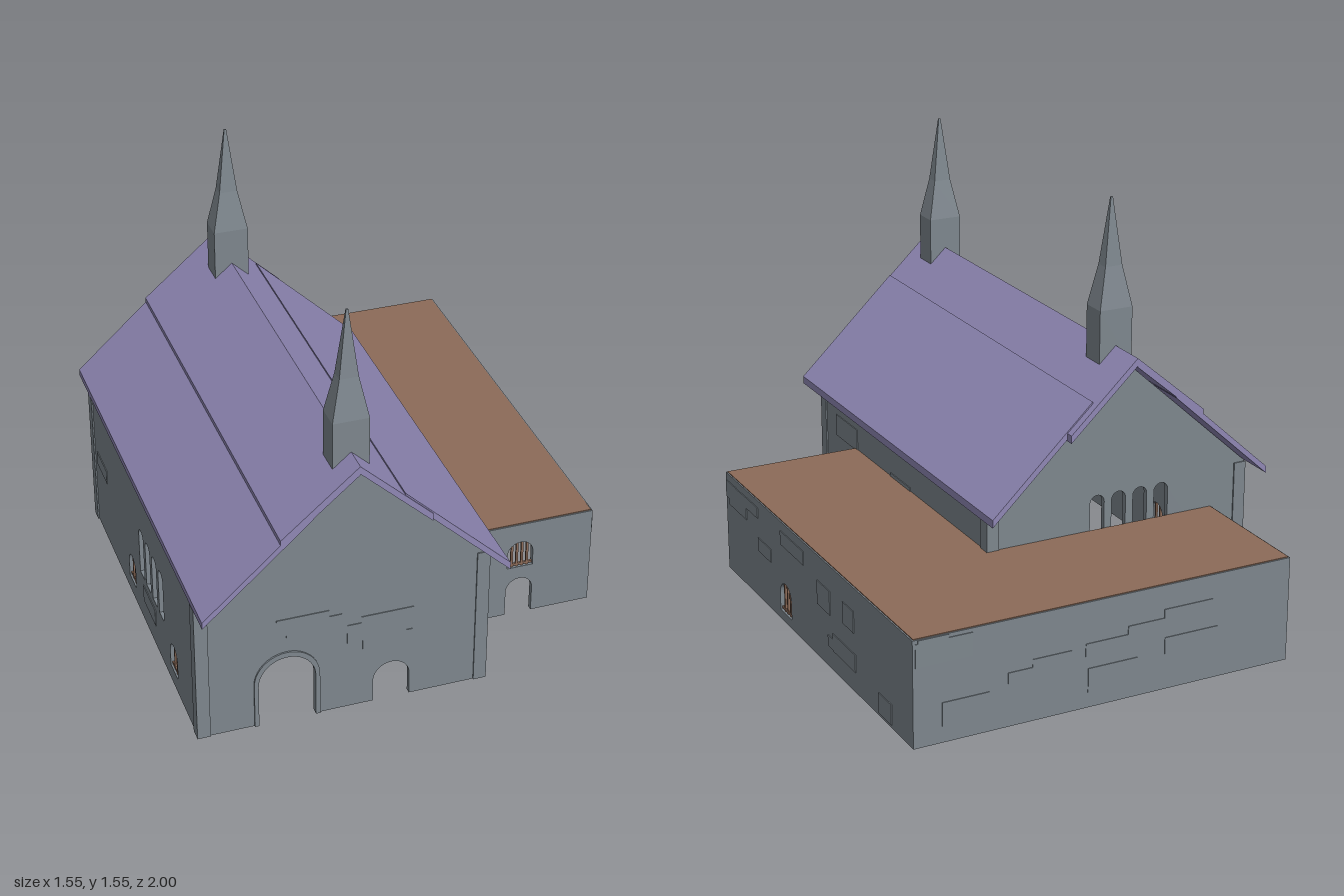
import * as THREE from 'three';

const mat = (name, color) => {
  const m = new THREE.MeshStandardMaterial({ color });
  m.name = name;
  return m;
};

export function createModel() {
  const stone = mat('grey stone', 0x7d868d);
  const wood = mat('brown wood', 0x8c6b58);
  const slate = mat('purple slate', 0x8f87b4);
  const model = new THREE.Group();
  const T = 0.02; // wall thickness

  const add = (parent, name, geo, material, x = 0, y = 0, z = 0) => {
    const m = new THREE.Mesh(geo, material);
    m.name = name;
    m.position.set(x, y, z);
    parent.add(m);
    return m;
  };
  const box = (parent, name, material, w, h, d, x, y, z) =>
    add(parent, name, new THREE.BoxGeometry(w, h, d), material, x, y, z);
  const extrude = (shape, depth) =>
    new THREE.ExtrudeGeometry(shape, { depth, bevelEnabled: false, curveSegments: 10 });

  let seed = 7;
  const rand = () => (seed = (seed * 16807) % 2147483647) / 2147483647;

  // Wall with arched doorways [centre, halfWidth, height] and
  // arched windows [centre, halfWidth, bottom, top, barCount].
  // side: front, back, left or right; at: position of the outer face.
  function wall(name, side, at, s0, s1, height, { doors = [], windows = [], peak = null, stones = 8 } = {}) {
    const g = new THREE.Group();
    g.name = name;
    const turned = side === 'left' || side === 'right';
    const outward = side === 'front' || side === 'right';
    const offset = outward ? at - T : at;
    if (turned) {
      g.rotation.y = Math.PI / 2;
      g.position.x = offset;
    } else g.position.z = offset;

    const s = new THREE.Shape();
    s.moveTo(s0, 0);
    for (const [c, w, h] of doors) {
      s.lineTo(c - w, 0);
      s.lineTo(c - w, h - w);
      s.absarc(c, h - w, w, Math.PI, 0, true);
      s.lineTo(c + w, 0);
    }
    s.lineTo(s1, 0);
    s.lineTo(s1, height);
    if (peak) s.lineTo(...peak);
    s.lineTo(s0, height);
    s.closePath();
    for (const [c, w, b, t, bars = 0] of windows) {
      const p = new THREE.Path();
      p.moveTo(c - w, b);
      p.lineTo(c + w, b);
      p.lineTo(c + w, t - w);
      p.absarc(c, t - w, w, 0, Math.PI, false);
      p.closePath();
      s.holes.push(p);
      for (let i = 1; i <= bars; i++) {
        const u = -w + (2 * w * i) / (bars + 1);
        const top = t - w + Math.sqrt(w * w - u * u);
        box(g, 'windowBar', wood, 0.008, top - b, 0.008, c + u, (top + b) / 2, T / 2);
      }
      if (bars) box(g, 'windowSill', wood, 2 * w, 0.008, 0.008, c, b + 0.008, T / 2);
    }
    add(g, name + 'Masonry', extrude(s, T), stone);

    // Slightly raised blocks, kept clear of the openings
    const gaps = [...doors.map(([c, w, h]) => [c, w, 0, h]), ...windows];
    for (let i = 0; i < stones; i++) {
      const w = 0.08 + 0.14 * rand(), h = 0.04 + 0.05 * rand();
      const x = s0 + w / 2 + (s1 - s0 - w) * rand(), y = h / 2 + (height - h) * rand();
      const clash = gaps.some(([c, gw, b, t]) =>
        Math.abs(x - c) < gw + w / 2 + 0.01 && y + h / 2 > b - 0.01 && y - h / 2 < t + 0.01);
      if (!clash) box(g, 'stoneBlock', stone, w, h, 0.004, x, y, outward ? T + 0.001 : -0.001);
    }
    model.add(g);
    return g;
  }

  // Church hall: gabled ends and long walls
  const peak = [-0.245, 1.01];
  const front = wall('frontWall', 'front', 0.89, -0.77, 0.25, 0.535,
    { doors: [[-0.46, 0.1, 0.265], [-0.09, 0.065, 0.15]], peak });
  const row = [-0.455, -0.37, -0.285, -0.2];
  wall('backWall', 'back', -0.5, -0.77, 0.25, 0.535, {
    doors: [[-0.29, 0.05, 0.15]], peak, stones: 0,
    windows: [-0.43, -0.345, -0.26, -0.175].map((c) => [c, 0.028, 0.33, 0.51]),
  });
  wall('leftWall', 'left', -0.77, -0.89, 0.5, 0.54, {
    windows: [[-0.6, 0.045, 0.06, 0.17, 2], ...row.map((c) => [c + 0.13 - 0.13, 0.029, 0.19, 0.38]),
      [-0.05, 0.045, 0.06, 0.17, 2]],
  });
  wall('rightWall', 'right', 0.25, -0.89, 0.5, 0.545, {
    doors: [[0.02, 0.04, 0.14]], windows: [[-0.12, 0.04, 0.05, 0.145, 3]], stones: 6,
  });

  // Moulding round the main doorway
  const arch = new THREE.Shape();
  arch.moveTo(-0.575, 0);
  arch.lineTo(-0.575, 0.17);
  arch.absarc(-0.46, 0.17, 0.115, Math.PI, 0, true);
  arch.lineTo(-0.345, 0);
  arch.lineTo(-0.36, 0);
  arch.lineTo(-0.36, 0.165);
  arch.absarc(-0.46, 0.165, 0.1, 0, Math.PI, false);
  arch.lineTo(-0.56, 0);
  add(front, 'doorMoulding', extrude(arch, 0.006), stone, 0, 0, T);

  // Corner strips of the hall
  for (const x of [-0.752, 0.232])
    for (const z of [0.872, -0.482])
      box(model, 'cornerStrip', stone, 0.046, 0.53, 0.046, x, 0.265, z);

  // Low wing wrapping the right and back
  wall('wingFrontWall', 'front', 0.59, 0.25, 0.77, 0.38,
    { doors: [[0.5, 0.05, 0.15]], windows: [[0.5, 0.048, 0.2, 0.305, 4]], stones: 4 });
  wall('wingRightWall', 'right', 0.77, -0.59, 1, 0.38,
    { windows: [[-0.04, 0.05, 0.035, 0.15, 3]], stones: 10 });
  wall('wingBackWall', 'back', -1, -0.64, 0.77, 0.38, { stones: 10 });
  wall('wingLeftWall', 'left', -0.64, 0.5, 1, 0.38, { stones: 3 });

  // L-shaped flat roof (shape y becomes -z)
  const flat = new THREE.Shape([[0.25, -0.585], [0.765, -0.585], [0.765, 0.995], [-0.635, 0.995],
    [-0.635, 0.5], [0.25, 0.5]].map(([x, y]) => new THREE.Vector2(x, y)));
  const flatRoof = add(model, 'wingRoof', extrude(flat, 0.015), wood, 0, 0.368, 0);
  flatRoof.rotation.x = -Math.PI / 2;

  // Wing ceiling rails and cross pieces
  for (const x of [0.262, 0.32]) box(model, 'ceilingRail', wood, 0.012, 0.012, 0.98, x, 0.355, 0.05);
  for (let i = 0; i < 12; i++)
    box(model, 'ceilingRung', wood, 0.06, 0.01, 0.012, 0.29, 0.355, -0.42 + i * 0.085);

  // Hall ceiling and its four columns
  box(model, 'hallCeiling', wood, 0.98, 0.012, 1.35, -0.26, 0.546, 0.195);
  for (const x of [-0.69, 0.085])
    for (const z of [0.67, -0.28]) {
      add(model, 'column', new THREE.CylinderGeometry(0.034, 0.034, 0.54, 16), wood, x, 0.27, z);
      add(model, 'columnBase', new THREE.CylinderGeometry(0.042, 0.042, 0.03, 16), wood, x, 0.015, z);
    }

  // Pitched roof: sloping slabs with a vertical thickness
  const slab = (name, x0, y0, x1, y1, t, zBack, zFront) => {
    const s = new THREE.Shape([[x0, y0 - t], [x1, y1 - t], [x1, y1], [x0, y0]]
      .map(([x, y]) => new THREE.Vector2(x, y)));
    add(model, name, extrude(s, zFront - zBack), slate, 0, 0, zBack);
  };
  slab('leftLowerRoof', -0.775, 0.557, -0.4, 0.898, 0.025, -0.635, 1);
  slab('leftUpperRoof', -0.51, 0.815, -0.245, 1.04, 0.032, -0.635, 1);
  slab('rightUpperRoof', -0.245, 1.04, 0.005, 0.806, 0.028, -0.635, 1);
  slab('rightLowerRoof', -0.09, 0.902, 0.285, 0.545, 0.028, -0.607, 0.995);

  // Four-sided tapering spires
  const profile = [[0, 0], [1, 0], [1, 0.205], [0.52, 0.35], [0.06, 0.585], [0, 0.585]]
    .map(([r, y]) => new THREE.Vector2(r * Math.SQRT2, y));
  const spireGeo = new THREE.LatheGeometry(profile, 4, Math.PI / 4).toNonIndexed();
  spireGeo.computeVertexNormals();
  for (const [name, z, y] of [['frontSpire', 0.865, 0.95], ['backSpire', -0.44, 0.965]])
    add(model, name, spireGeo, stone, -0.245, y, z).scale.set(0.0625, 1, 0.046);

  return model;
}
